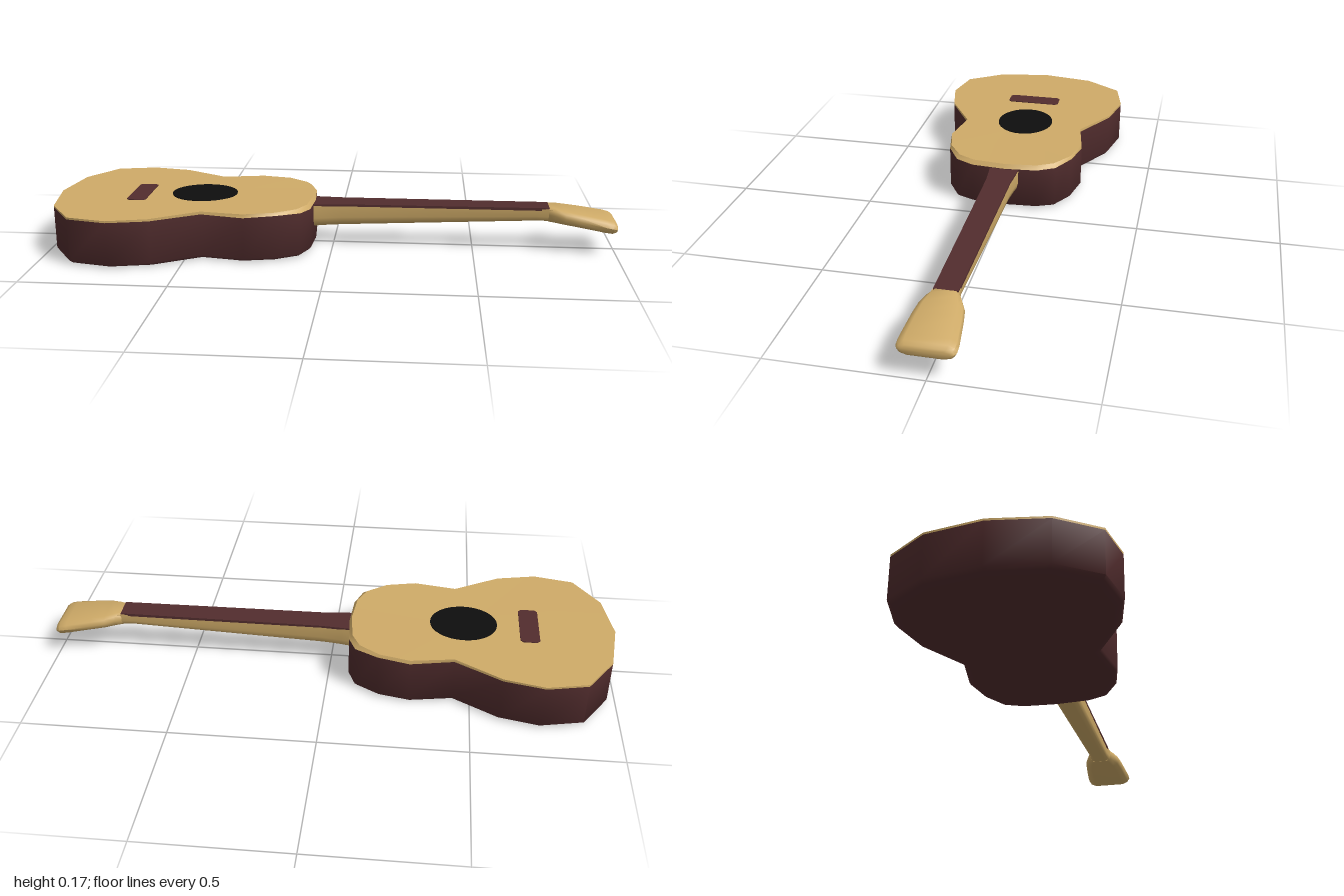
import * as THREE from 'three';
import { toCreasedNormals } from 'three/addons/utils/BufferGeometryUtils.js';

const mat = (name, color) => {
  const m = new THREE.MeshStandardMaterial({ color });
  m.name = name;
  return m;
};

// Skin a row of closed cross-sections, with optional fan caps.
function loft(rings, { capStart = true, capEnd = true, crease = 0.9 } = {}) {
  const n = rings[0].length, pos = rings.flat(2), idx = [];
  for (let i = 0; i < rings.length - 1; i++) {
    for (let j = 0; j < n; j++) {
      const k = (j + 1) % n;
      const a = i * n + j, b = i * n + k, c = b + n, d = a + n;
      idx.push(a, b, c, a, c, d);
    }
  }
  const cap = (r, flip) => {
    const centre = pos.length / 3, base = r * n;
    for (let axis = 0; axis < 3; axis++) {
      pos.push(rings[r].reduce((sum, p) => sum + p[axis], 0) / n);
    }
    for (let j = 0; j < n; j++) {
      const a = base + j, b = base + (j + 1) % n;
      idx.push(centre, ...(flip ? [b, a] : [a, b]));
    }
  };
  if (capStart) cap(0, true);
  if (capEnd) cap(rings.length - 1, false);
  const g = new THREE.BufferGeometry();
  g.setAttribute('position', new THREE.Float32BufferAttribute(pos, 3));
  g.setIndex(idx);
  return toCreasedNormals(g, crease);
}

export function createModel() {
  const group = new THREE.Group();
  const spruce = mat('pale wood', 0xcfab68);
  const rosewood = mat('dark wood', 0x522d2e);
  const black = mat('black', 0x0e0e0e);
  const add = (name, geometry, material) => {
    const mesh = new THREE.Mesh(geometry, material);
    mesh.name = name;
    group.add(mesh);
    return mesh;
  };

  // Half outline of the body: x, half width, rim height, top height, top scale
  const half = [
    [-1, 0, 0.163, 0.17, 1], [-0.97, 0.19, 0.163, 0.17, 1],
    [-0.88, 0.324, 0.163, 0.17, 1], [-0.74, 0.354, 0.163, 0.17, 1],
    [-0.6, 0.323, 0.163, 0.171, 1], [-0.44, 0.229, 0.163, 0.173, 0.995],
    [-0.29, 0.255, 0.161, 0.174, 0.99], [-0.18, 0.232, 0.165, 0.175, 0.98],
    [-0.1, 0.185, 0.162, 0.174, 0.96], [-0.073, 0.12, 0.158, 0.173, 0.97],
    [-0.065, 0, 0.157, 0.173, 0.98],
  ];
  const outline = [
    ...half,
    ...half.slice(1, -1).reverse().map(([x, z, ...rest]) => [x, -z, ...rest]),
  ];
  const ring = (scaleOf, yOf) => outline.map((p) => {
    const s = scaleOf(p);
    return [-0.47 + (p[0] + 0.47) * s, yOf(p), p[1] * s];
  });
  const one = () => 1;
  const rim = ring(one, (p) => p[2]);
  const top = ring((p) => p[4], (p) => p[3]);

  // Back and sides, then the pale soundboard with its edge
  add('bodyBackAndSides', loft([
    ring(() => 0.9, () => 0.001), ring(() => 0.975, () => 0.006),
    ring(one, () => 0.015), rim,
  ], { capEnd: false, crease: 1.1 }), rosewood);
  add('soundboardEdge', loft([rim, top], { capStart: false, capEnd: false }), spruce);
  add('soundboard', loft([
    top.map(([x, y, z]) => [x, y - 0.001, z]), top,
  ], { capStart: false, crease: 0.6 }), spruce);

  // Sound hole disc
  const hole = add('soundHole', new THREE.CylinderGeometry(1, 1, 0.004, 32), black);
  hole.scale.set(0.118, 1, 0.106);
  hole.position.set(-0.47, 0.1735, -0.003);

  // Bridge: a thin plate with clipped corners
  const bx = 0.034, bz = 0.102, c = 0.01;
  const plate = (y) => [
    [-bx, y, -bz + c], [-bx, y, bz - c], [-bx + c, y, bz], [bx - c, y, bz],
    [bx, y, bz - c], [bx, y, -bz + c], [bx - c, y, -bz], [-bx + c, y, -bz],
  ];
  add('bridge', loft([plate(0), plate(0.006)]), rosewood).position.set(-0.7, 0.168, 0.003);

  // Neck sections: flat on top, rounded underneath
  const neckRing = ([x, w, bottom, y]) => {
    const h = y - bottom;
    return [
      [-w, y], [w, y], [w, bottom + 0.42 * h], [w * 0.88, bottom + 0.14 * h],
      [w * 0.55, bottom], [-w * 0.55, bottom], [-w * 0.88, bottom + 0.14 * h],
      [-w, bottom + 0.42 * h],
    ].map(([z, v]) => [x, v, z]);
  };
  add('neck', loft([
    [-0.09, 0.056, 0.066, 0.15], [-0.04, 0.05, 0.071, 0.15],
    [0.03, 0.044, 0.075, 0.151], [0.72, 0.037, 0.106, 0.153],
    [0.78, 0.044, 0.107, 0.153],
  ].map(neckRing)), spruce);

  // Fingerboard strip along the top of the neck
  add('fingerboard', loft([
    [-0.08, 0.054], [-0.04, 0.05], [0.03, 0.0445], [0.765, 0.039],
  ].map(([x, w]) => {
    const y = 0.1555 + 0.003 * (x + 0.08);
    return [[x, y, -w], [x, y, w], [x, 0.148, w], [x, 0.148, -w]];
  })), rosewood);

  // Headstock: a soft-edged paddle tipped downwards
  const headRing = ([x, w, bottom, y]) => {
    const h = y - bottom;
    return [
      [-w * 0.72, y], [w * 0.72, y], [w * 0.93, y - 0.16 * h], [w, y - 0.45 * h],
      [w * 0.9, bottom + 0.2 * h], [w * 0.65, bottom],
      [-w * 0.65, bottom], [-w * 0.9, bottom + 0.2 * h],
      [-w, y - 0.45 * h], [-w * 0.93, y - 0.16 * h],
    ].map(([z, v]) => [x, v, z]);
  };
  add('headstock', loft([
    [0.763, 0.044, 0.106, 0.158], [0.785, 0.056, 0.105, 0.157],
    [0.82, 0.072, 0.101, 0.15], [0.87, 0.08, 0.094, 0.143],
    [0.96, 0.09, 0.079, 0.128], [0.985, 0.09, 0.076, 0.122],
    [0.997, 0.084, 0.081, 0.114], [1, 0.074, 0.088, 0.107],
  ].map(headRing)), spruce);

  return group;
}
